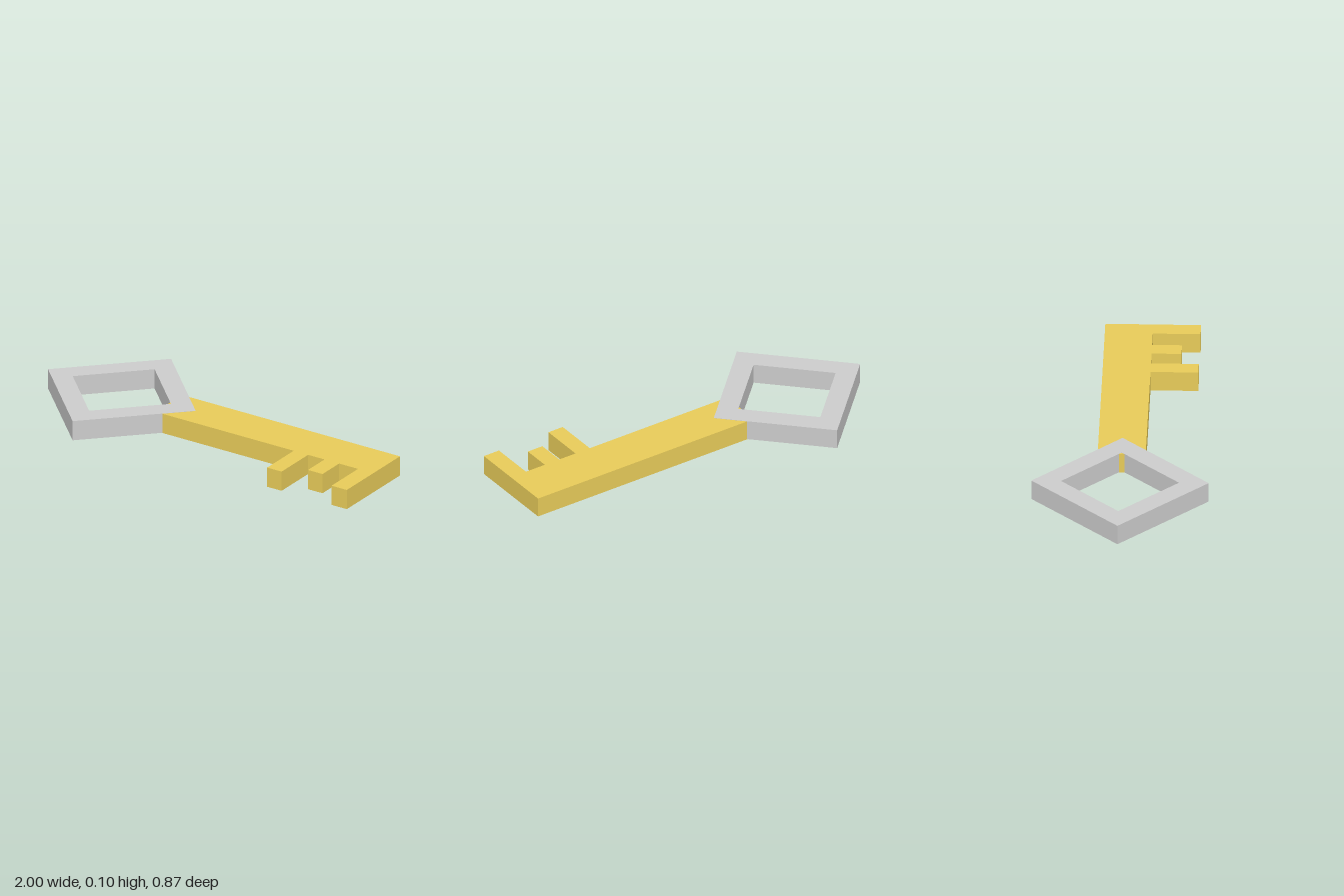
import * as THREE from 'three';

const THICK = 0.104;

// Extrude an outline given in (x, z) into a flat plate standing on y = base
function plate(name, points, color, base, hole) {
  const toVec = ([x, z]) => new THREE.Vector2(x, z);
  const shape = new THREE.Shape(points.map(toVec));
  if (hole) shape.holes.push(new THREE.Path(hole.map(toVec)));
  const geometry = new THREE.ExtrudeGeometry(shape, { depth: THICK, bevelEnabled: false });
  geometry.rotateX(Math.PI / 2).translate(0, base + THICK, 0);
  const mesh = new THREE.Mesh(geometry, new THREE.MeshStandardMaterial({ color, flatShading: true }));
  mesh.name = name;
  return mesh;
}

// Corners of a diamond centred on (cx, 0)
const diamond = (cx, r) => [[cx - r, 0], [cx, -r], [cx + r, 0], [cx, r]];

export function createModel() {
  const key = new THREE.Group();
  key.name = 'key';

  // Diamond-shaped bow, a hair above the shaft so their faces do not coincide
  key.add(plate('bow', diamond(-0.564, 0.436), 0xcccccc, 0.001, diamond(-0.564, 0.29)));

  // Shaft and teeth share one outline; each tooth is [x start, x end, z tip]
  const half = 0.118;
  const teeth = [[0.53, 0.615, 0.353], [0.712, 0.798, 0.265], [0.91, 1, 0.353]];
  const outline = [[1, -half], [-0.287, -half], [-0.287, half]];
  for (const [x0, x1, tip] of teeth) {
    outline.push([x0, half], [x0, tip], [x1, tip]);
    if (x1 < 1) outline.push([x1, half]);
  }
  key.add(plate('shaftWithTeeth', outline, 0xe7cb59, 0));

  return key;
}
